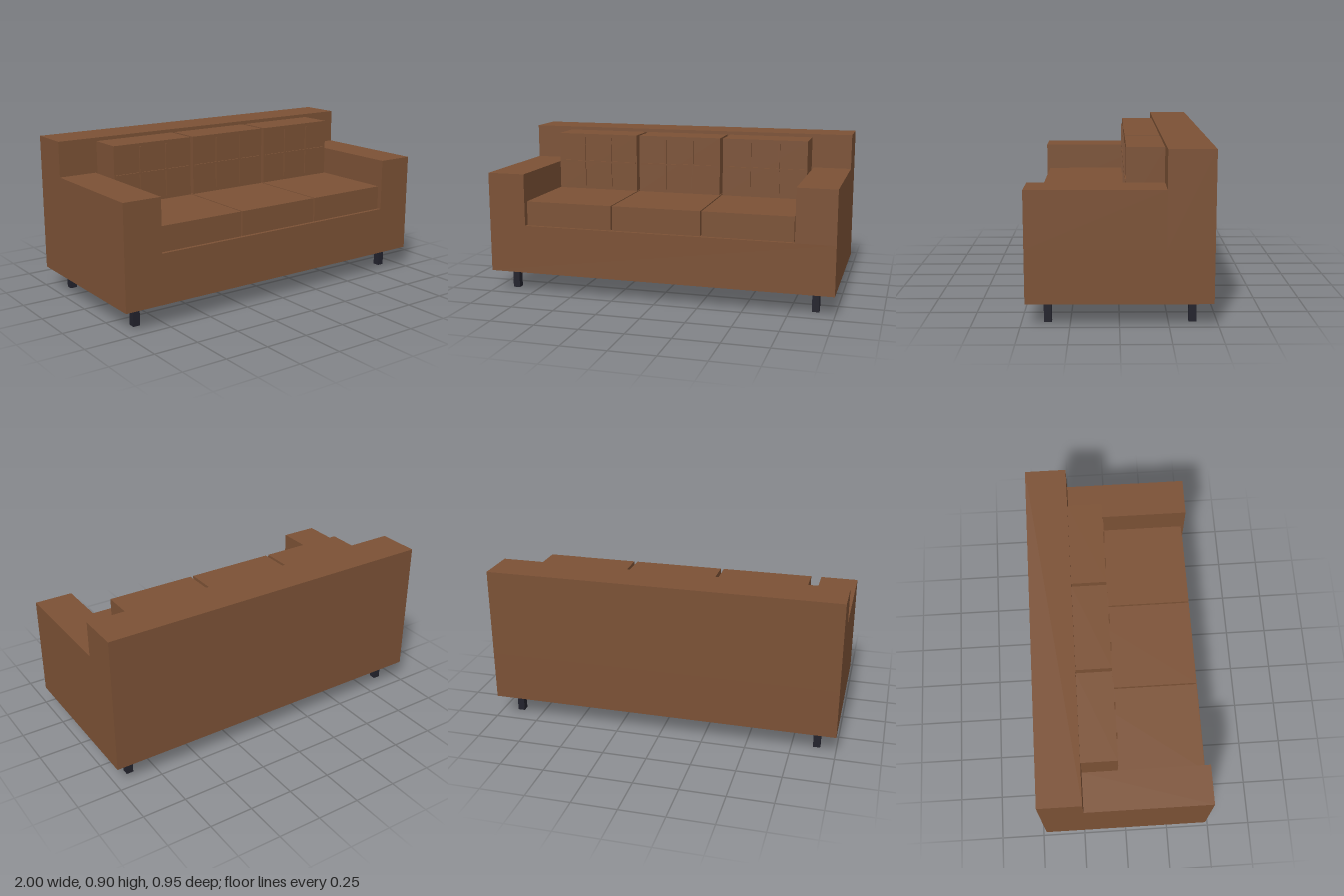
import * as THREE from 'three';

const upholstery = new THREE.MeshStandardMaterial({ color: 0x7b5135, side: THREE.DoubleSide });
upholstery.name = 'brown upholstery';
const legPaint = new THREE.MeshStandardMaterial({ color: 0x22222c });
legPaint.name = 'dark leg';

export function createModel() {
  const sofa = new THREE.Group();
  sofa.name = 'sofa';

  // Adds a box given by its extents along each axis
  function box(name, [x0, x1], [y0, y1], [z0, z1], material = upholstery) {
    const geometry = new THREE.BoxGeometry(x1 - x0, y1 - y0, z1 - z0);
    const mesh = new THREE.Mesh(geometry, material);
    mesh.position.set((x0 + x1) / 2, (y0 + y1) / 2, (z0 + z1) / 2);
    mesh.name = name;
    sofa.add(mesh);
    return mesh;
  }

  const deck = 0.4, seatTop = 0.54, backFront = -0.235;

  // Base: a thin shell, open underneath (the downward face is dropped)
  const base = box('base', [-1, 1], [0.12, deck], [-0.475, 0.475]);
  const index = Array.from(base.geometry.index.array);
  index.splice(18, 6);
  base.geometry.setIndex(index);
  base.geometry.clearGroups();

  // Backrest and arms
  box('backrest', [-1, 1], [deck, 0.9], [-0.475, backFront]);
  box('leftArm', [0.78, 1], [deck, 0.7], [backFront, 0.475]);
  box('rightArm', [-1, -0.78], [deck, 0.7], [backFront, 0.475]);

  // Three seat cushions with back cushions and raised seams
  for (const i of [-1, 0, 1]) {
    const c = i * 0.518;
    const half = 0.255;
    box('seatCushion', [c - half, c + half], [deck, seatTop], [backFront, 0.455]);
    box('backCushion', [c - 0.25, c + 0.25], [seatTop, 0.88], [backFront, -0.036]);
    for (const s of [-1, 1]) {
      const x = c + s * 0.085;
      box('verticalSeam', [x - 0.005, x + 0.005], [0.56, 0.86], [-0.04, -0.028]);
    }
    box('horizontalSeam', [c - 0.24, c + 0.24], [0.705, 0.715], [-0.04, -0.028]);
  }

  // Legs
  for (const x of [-0.89, 0.89]) {
    for (const [name, z] of [['frontLeg', 0.366], ['backLeg', -0.374]]) {
      box(name, [x - 0.02, x + 0.02], [0, 0.12], [z - 0.02, z + 0.02], legPaint);
    }
  }
  return sofa;
}
